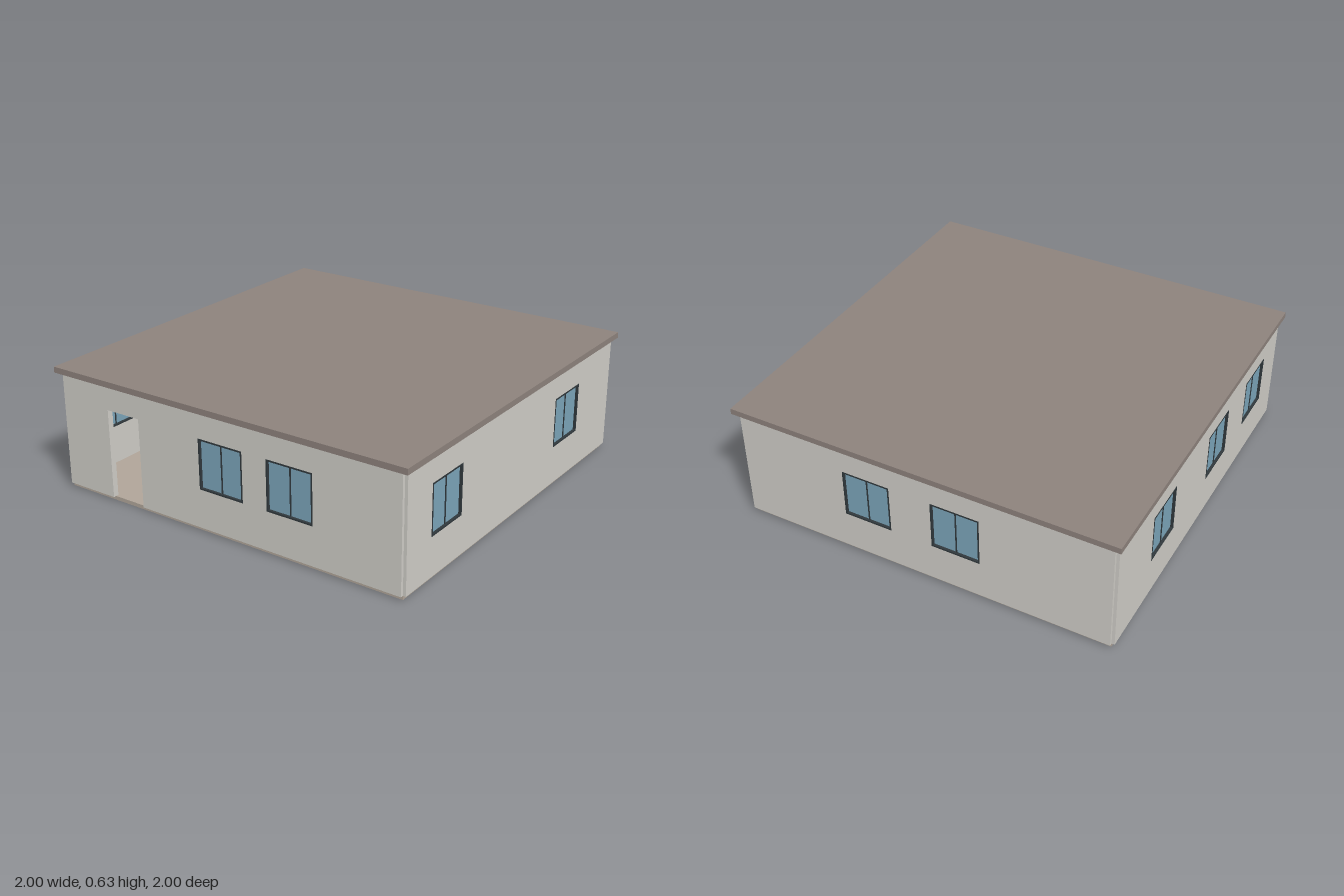
import * as THREE from 'three';

const mat = (color) => new THREE.MeshStandardMaterial({ color });
const wallMat = mat(0xcfcdc7), roofMat = mat(0x8d827c), floorMat = mat(0xb0a599);
const frameMat = mat(0x30383c), glassMat = mat(0x7ba4b9);

const HALF = 0.965;           // wall centre line
const THICK = 0.03, BASE = 0.02, TOP = 0.6;
const WIN = { w: 0.25, y0: 0.217, y1: 0.47 };

function rectPoints(x0, y0, x1, y1) {
  return [[x0, y0], [x1, y0], [x1, y1], [x0, y1]].map(([x, y]) => new THREE.Vector2(x, y));
}

function box(name, w, h, d, x, y, z, material) {
  const mesh = new THREE.Mesh(new THREE.BoxGeometry(w, h, d), material);
  mesh.position.set(x, y, z);
  mesh.name = name;
  return mesh;
}

// Framed two-pane window, centred in the wall thickness
function makeWindow(u) {
  const g = new THREE.Group();
  g.name = 'window';
  const { w, y0, y1 } = WIN, bar = 0.008, h = y1 - y0;
  const outline = new THREE.Shape(rectPoints(-w / 2, y0, w / 2, y1));
  outline.holes.push(new THREE.Path(rectPoints(-w / 2 + bar, y0 + bar, w / 2 - bar, y1 - bar)));
  const frame = new THREE.Mesh(
    new THREE.ExtrudeGeometry(outline, { depth: THICK + 0.002, bevelEnabled: false }), frameMat);
  frame.position.z = -THICK / 2 - 0.001;
  frame.name = 'windowFrame';
  g.add(frame);
  g.add(box('windowGlass', w - bar, h - bar, 0.006, 0, (y0 + y1) / 2, 0, glassMat));
  g.add(box('windowMullion', 0.006, h - bar, 0.014, 0, (y0 + y1) / 2, 0, frameMat));
  g.position.x = u;
  return g;
}

// One wall seen from outside: u runs to the viewer's right
function makeWall(name, angle, windows, door) {
  const g = new THREE.Group();
  g.name = name;
  const pts = rectPoints(-HALF, BASE, HALF, TOP);
  if (door) {
    // Doorway notched into the lower edge
    const notch = [[door.u0, BASE], [door.u0, door.top], [door.u1, door.top], [door.u1, BASE]];
    pts.splice(1, 0, ...notch.map(([x, y]) => new THREE.Vector2(x, y)));
  }
  const shape = new THREE.Shape(pts);
  for (const u of windows) {
    shape.holes.push(new THREE.Path(rectPoints(u - WIN.w / 2, WIN.y0, u + WIN.w / 2, WIN.y1)));
    g.add(makeWindow(u));
  }
  const panel = new THREE.Mesh(
    new THREE.ExtrudeGeometry(shape, { depth: THICK, bevelEnabled: false }), wallMat);
  panel.position.z = -THICK / 2;
  panel.name = name + 'Panel';
  g.add(panel);
  g.rotation.y = angle;
  g.position.set(Math.sin(angle) * HALF, 0, Math.cos(angle) * HALF);
  return g;
}

export function createModel() {
  const house = new THREE.Group();
  house.name = 'house';

  house.add(box('floorSlab', HALF * 2, BASE, HALF * 2, 0, BASE / 2, 0, floorMat));
  house.add(box('flatRoof', 2, 0.03, 2, 0, TOP + 0.015, 0, roofMat));

  house.add(makeWall('frontWall', 0, [0, 0.385], { u0: -0.68, u1: -0.487, top: 0.475 }));
  house.add(makeWall('leftWall', Math.PI / 2, [-0.645, 0.483]));
  house.add(makeWall('backWall', Math.PI, [-0.28, 0.187]));
  house.add(makeWall('rightWall', -Math.PI / 2, [-0.474, 0.169, 0.656]));

  return house;
}
